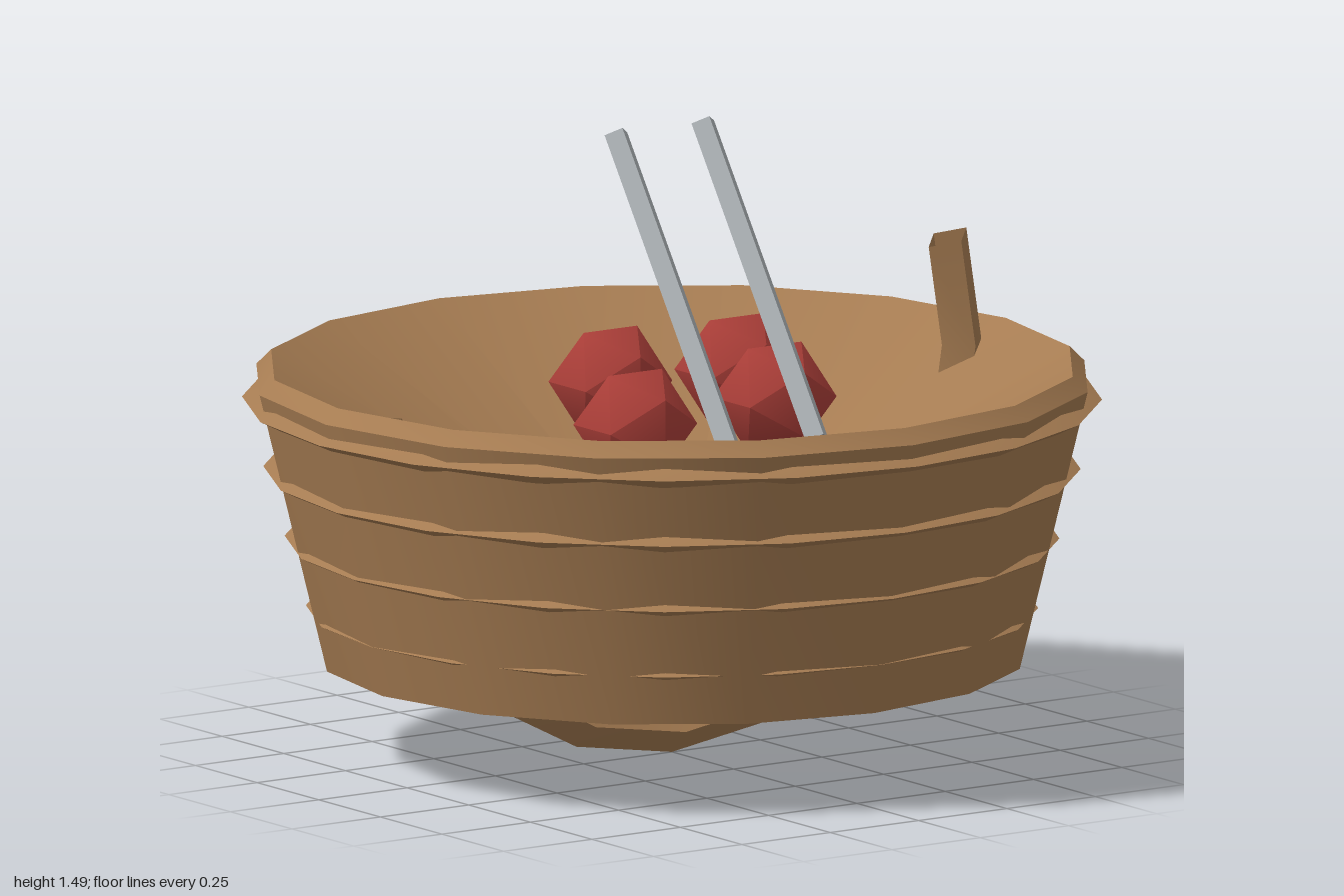
import * as THREE from 'three';
import { toCreasedNormals } from 'three/addons/utils/BufferGeometryUtils.js';

const wicker = new THREE.MeshStandardMaterial({ color: 0xa67c52, side: THREE.DoubleSide });
wicker.name = 'wicker brown';
const yarn = new THREE.MeshStandardMaterial({ color: 0xaa3e38 });
yarn.name = 'yarn red';
const steel = new THREE.MeshStandardMaterial({ color: 0xadb2b6 });
steel.name = 'needle grey';

export function createModel() {
  const group = new THREE.Group();
  const add = (name, geometry, material, x = 0, y = 0, z = 0, crease = 0.6) => {
    const mesh = new THREE.Mesh(toCreasedNormals(geometry, crease), material);
    mesh.name = name;
    mesh.position.set(x, y, z);
    group.add(mesh);
    return mesh;
  };

  // Basket: flat base, flared wall, bevelled rim and conical hollow
  const profile = [[0, 0.225], [0.82, 0.225], [0.98, 0.885], [0.945, 0.92], [0, 0.385]];
  add('basket', new THREE.LatheGeometry(profile.map(([r, y]) => new THREE.Vector2(r, y)), 16), wicker);

  // Flattened woven bands, mostly sunk into the wall
  for (let i = 0; i < 4; i++) {
    const band = new THREE.TorusGeometry(0.8 + i * 0.0495, 0.05, 4, 20);
    band.scale(1, 1, 0.5);
    band.rotateX(Math.PI / 2);
    add('band' + (i + 1), band, wicker, 0, 0.344 + i * 0.1645, 0);
  }

  // Hoop handle, open-ended, passing beneath the basket
  const handle = new THREE.TorusGeometry(0.82, 0.056, 4, 11, Math.PI * 1.1);
  handle.rotateZ(Math.PI);
  add('handle', handle, wicker, 0, 0.876, 0);

  // Softly shaded balls of yarn
  [[0, -0.25], [0.325, -0.205], [-0.247, 0.205], [0.204, 0.124]].forEach(([x, z], i) => {
    add('yarnBall' + (i + 1), new THREE.IcosahedronGeometry(0.144), yarn, x, 0.837, z, 1);
  });

  // Pair of needles leaning back
  for (const side of [-1, 1]) {
    const needle = add(side < 0 ? 'rightNeedle' : 'leftNeedle',
      new THREE.CylinderGeometry(0.032, 0.032, 0.82, 4), steel, side * 0.123, 1.13, 0.18);
    needle.rotation.x = -0.6;
  }

  return group;
}
